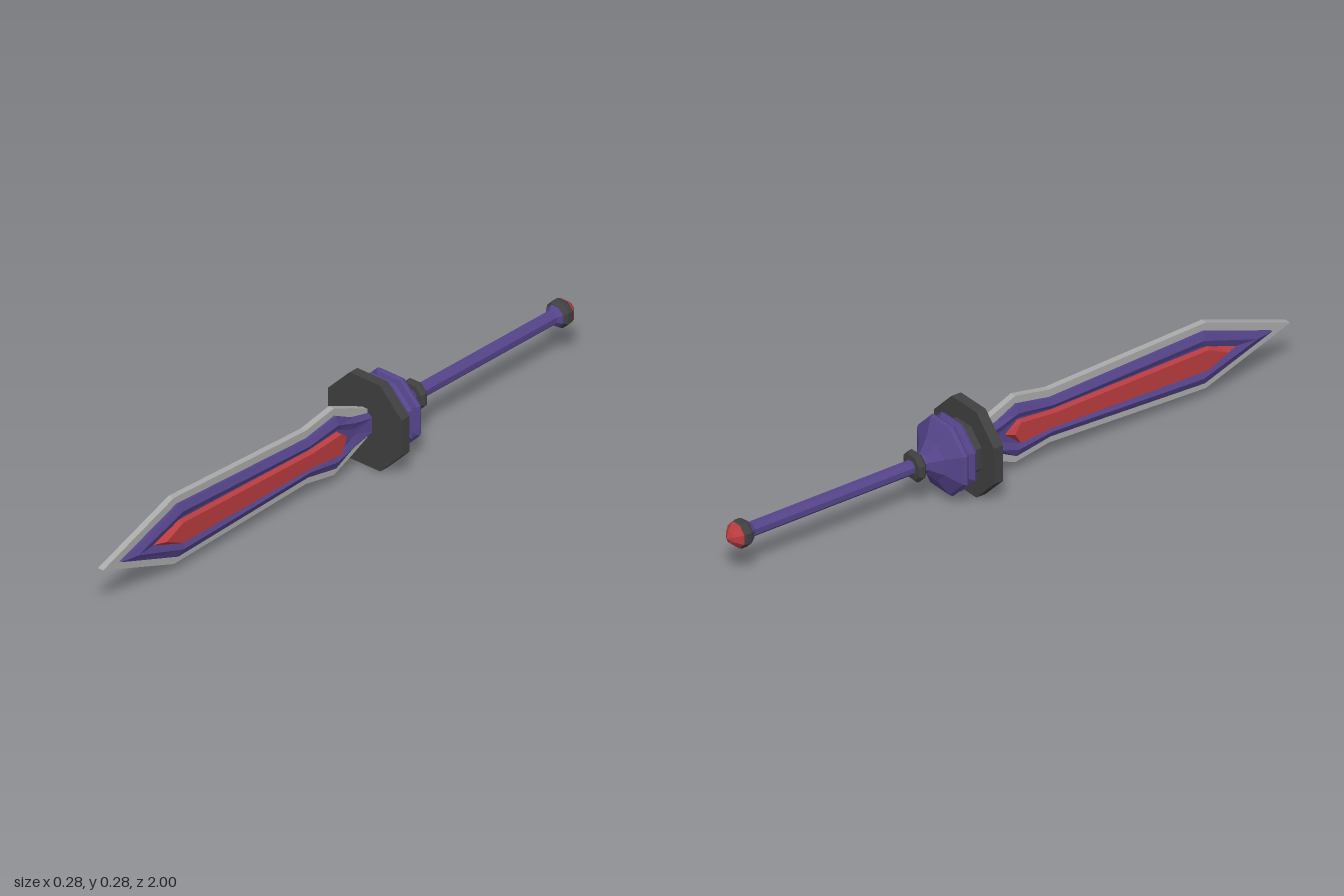
import * as THREE from 'three';

const paint = (color) => new THREE.MeshStandardMaterial({ color, flatShading: true });
const STEEL = paint(0xaaaaaa), PURPLE = paint(0x55448a), RED = paint(0xb93c3f), BLACK = paint(0x404040);
const AXIS_Y = 0.14;

// Stacks outlines outward in x on both sides of the blade.
// Each layer is [x, upper outline of [z, half height] from tip to hilt].
function bladeLayers(layers) {
  const pos = [];
  const tri = (a, b, c, side) => {
    const area = new THREE.Triangle(
      new THREE.Vector3(...a), new THREE.Vector3(...b), new THREE.Vector3(...c)).getArea();
    if (area < 1e-9) return;
    for (const p of side > 0 ? [a, b, c] : [a, c, b]) pos.push(p[0] * side, p[1], p[2]);
  };
  const quad = (a, b, c, d, side) => { tri(a, b, c, side); tri(a, c, d, side); };
  const rings = layers.map(([x, outline]) => ({
    up: outline.map(([z, h]) => [x, h, z]),
    low: outline.map(([z, h]) => [x, -h, z]),
  }));
  for (const side of [1, -1]) {
    // sloping walls between layers
    for (let k = 0; k + 1 < rings.length; k++) {
      const [a, b] = [rings[k], rings[k + 1]].map((r) => [...r.low, ...[...r.up].reverse()]);
      for (let i = 0; i < a.length; i++) {
        const j = (i + 1) % a.length;
        quad(a[i], a[j], b[j], b[i], side);
      }
    }
    // outer face
    const { up, low } = rings[rings.length - 1];
    for (let i = 0; i + 1 < up.length; i++) quad(up[i], low[i], low[i + 1], up[i + 1], side);
  }
  const geo = new THREE.BufferGeometry();
  geo.setAttribute('position', new THREE.Float32BufferAttribute(pos, 3));
  geo.computeVertexNormals();
  return geo;
}

// Eight-sided turned part along z; profile is [z, distance to flat side], back to front.
function turned(profile) {
  const k = 1 / Math.cos(Math.PI / 8);
  const pts = profile.map(([z, r]) => new THREE.Vector2(r * k, z));
  return new THREE.LatheGeometry(pts, 8, Math.PI / 8).rotateX(Math.PI / 2);
}

export function createModel() {
  const group = new THREE.Group();
  const add = (name, geometry, material) => {
    const mesh = new THREE.Mesh(geometry, material);
    mesh.name = name;
    mesh.position.y = AXIS_Y;
    group.add(mesh);
  };

  // Steel cutting edge
  const edge = [[1, 0], [0.7, 0.108], [0.14, 0.087], [0.02, 0.109], [-0.06, 0.075], [-0.125, 0.045]];
  add('bladeEdge', bladeLayers([[0, edge], [0.01, edge]]), STEEL);

  // Raised frame with a groove sloping in towards the inlay
  const foot = [[0.93, 0], [0.69, 0.085], [0.14, 0.063], [0.02, 0.085], [-0.05, 0.05], [-0.125, 0.032]];
  const crest = [[0.87, 0], [0.68, 0.062], [0.14, 0.043], [0.02, 0.06], [-0.05, 0.037], [-0.125, 0.022]];
  const groove = [[0.8, 0], [0.67, 0.042], [0.14, 0.03], [0.02, 0.042], [-0.03, 0.02], [-0.06, 0.005]];
  add('bladeFrame', bladeLayers([[0.008, foot], [0.018, foot], [0.028, crest], [0.02, groove]]), PURPLE);

  // Bevelled inlay
  const inlayFoot = [[0.81, 0], [0.7, 0.038], [0.14, 0.028], [0.02, 0.038], [-0.03, 0]];
  const inlayFace = [[0.76, 0], [0.69, 0.033], [0.14, 0.023], [0.02, 0.033], [0, 0]];
  add('bladeInlay', bladeLayers([[0.015, inlayFoot], [0.037, inlayFace]]), RED);

  // Guard plate and its backing
  add('guardPlate', turned([[-0.155, 0], [-0.155, 0.14], [-0.122, 0.14], [-0.122, 0]]), BLACK);
  add('guardBacking', turned([[-0.185, 0], [-0.185, 0.082], [-0.15, 0.082], [-0.15, 0]]), BLACK);

  // Flared hub with a groove between two rings
  add('hub', turned([
    [-0.32, 0.022], [-0.3, 0.03], [-0.27, 0.06], [-0.24, 0.108], [-0.23, 0.114], [-0.222, 0.108],
    [-0.215, 0.088], [-0.208, 0.1], [-0.2, 0.11], [-0.19, 0.104], [-0.182, 0.08], [-0.182, 0],
  ]), PURPLE);

  // Collar, grip and pommel
  add('collar', turned([
    [-0.345, 0.02], [-0.343, 0.037], [-0.335, 0.045], [-0.327, 0.045], [-0.318, 0.037], [-0.316, 0.02],
  ]), BLACK);
  add('grip', turned([[-0.95, 0.021], [-0.3, 0.021]]), PURPLE);
  add('pommelFlare', turned([[-0.94, 0.034], [-0.925, 0.03], [-0.915, 0.021]]), PURPLE);
  add('pommelCap', turned([[-0.968, 0.036], [-0.958, 0.04], [-0.942, 0.04], [-0.93, 0.033], [-0.93, 0]]), BLACK);
  add('pommelGem', turned([[-1, 0], [-0.99, 0.018], [-0.968, 0.037], [-0.96, 0.037]]), RED);

  return group;
}
